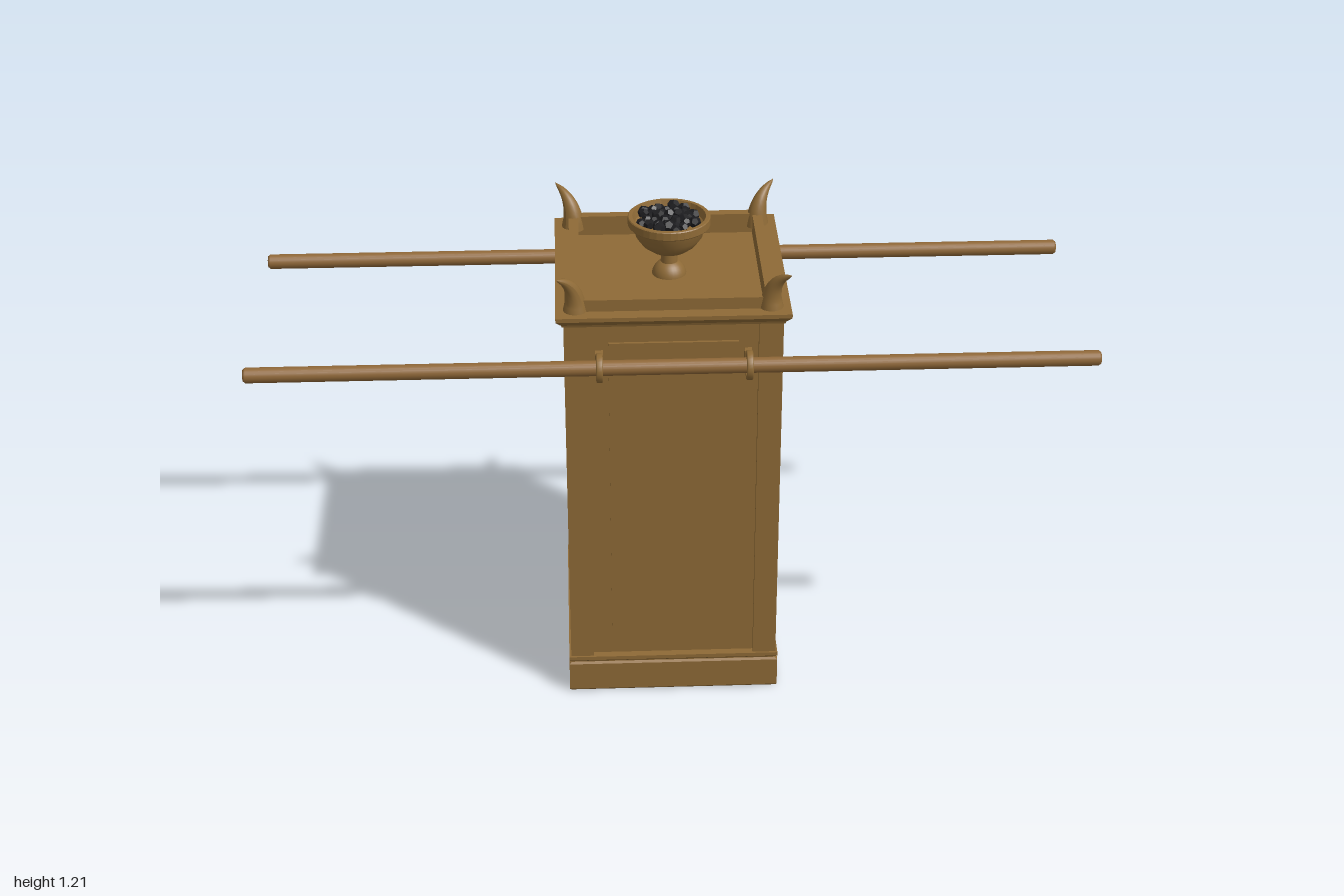
import * as THREE from 'three';

export function createModel() {
  const root = new THREE.Group();
  root.name = 'incenseAltar';
  const mat = (name, color) => {
    const m = new THREE.MeshStandardMaterial({ color });
    m.name = name;
    return m;
  };
  const gold = mat('dull gold', 0x8e6a36);
  const wood = mat('pole wood', 0x906838);
  const coal = mat('black coal', 0x1d1d20);

  const add = (name, geo, material, x = 0, y = 0, z = 0, parent = root) => {
    const m = new THREE.Mesh(geo, material);
    m.name = name;
    m.position.set(x, y, z);
    parent.add(m);
    return m;
  };
  const points = (list) => list.map(([a, b]) => new THREE.Vector2(a, b));

  // Square moulding: a four-sided lathe from [half width, height] pairs
  const squareLathe = (profile) => {
    const pts = points(profile.map(([h, y]) => [h * Math.SQRT2, y]));
    const geo = new THREE.LatheGeometry(pts, 4).rotateY(Math.PI / 4).toNonIndexed();
    geo.computeVertexNormals();
    return geo;
  };

  // Plinth with its moulding, the recessed body and the crown with its tray
  add('plinth', squareLathe([[0, 0], [0.258, 0], [0.262, 0.005], [0.262, 0.08], [0.256, 0.084],
    [0.256, 0.086], [0.262, 0.092], [0.262, 0.102], [0, 0.102]]), gold);
  add('body', new THREE.BoxGeometry(0.484, 0.95, 0.484), gold, 0, 0.57, 0);
  add('crown', squareLathe([[0, 1.036], [0.26, 1.036], [0.262, 1.042], [0.275, 1.056], [0.275, 1.066],
    [0.24, 1.066], [0.24, 1.095], [0.216, 1.095], [0.216, 1.04], [0, 1.04]]), gold);

  // Raised panel on each of the four sides
  for (let i = 0; i < 4; i++) {
    const side = new THREE.Group();
    side.name = 'sidePanel';
    side.rotation.y = i * Math.PI / 2;
    root.add(side);
    add('panel', new THREE.BoxGeometry(0.306, 0.83, 0.012), gold, 0, 0.57, 0.243, side);
  }

  // Curved horn: rings that shrink along an outward-bending curve
  const hornGeometry = () => {
    const curve = new THREE.CatmullRomCurve3([
      [0.229, 1.06], [0.229, 1.09], [0.236, 1.122], [0.25, 1.146], [0.271, 1.164],
    ].map(([d, y]) => new THREE.Vector3(d, y, d)));
    const rows = 12, sides = 16, pos = [], index = [];
    const across = new THREE.Vector3(1, 0, -1).normalize();
    for (let i = 0; i <= rows; i++) {
      const t = i / rows, c = curve.getPoint(t);
      const inward = curve.getTangent(t).cross(across).normalize();
      const r = 0.029 * Math.pow(1 - t, 0.75) + 0.0005;
      for (let j = 0; j <= sides; j++) {
        const a = j / sides * Math.PI * 2;
        const p = c.clone().addScaledVector(across, r * Math.cos(a)).addScaledVector(inward, r * Math.sin(a));
        pos.push(p.x, p.y, p.z);
        if (i < rows && j < sides) {
          const k = i * (sides + 1) + j, n = k + sides + 1;
          index.push(k, n, k + 1, k + 1, n, n + 1);
        }
      }
    }
    const geo = new THREE.BufferGeometry();
    geo.setAttribute('position', new THREE.Float32BufferAttribute(pos, 3));
    geo.setIndex(index);
    // Turn the faces outward if the rings run the other way
    const v = (k) => new THREE.Vector3().fromArray(pos, k * 3);
    const n = v(index[1]).sub(v(index[0])).cross(v(index[2]).sub(v(index[0])));
    if (n.dot(v(0).sub(curve.getPoint(0))) < 0) geo.setIndex(index.reverse());
    geo.computeVertexNormals();
    return geo;
  };
  const horn = hornGeometry();

  // Corner posts and horns
  for (let i = 0; i < 4; i++) {
    const corner = new THREE.Group();
    corner.name = 'corner';
    corner.rotation.y = i * Math.PI / 2;
    root.add(corner);
    add('cornerPost', new THREE.BoxGeometry(0.057, 0.94, 0.057), gold, 0.2285, 0.57, 0.2285, corner);
    add('horn', horn, gold, 0, 0, 0, corner);
  }

  // Carrying poles in their rings, front and back
  const poleProfile = points([[0, -1], [0.014, -1], [0.0185, -0.994], [0.0185, 0.994], [0.014, 1], [0, 1]]);
  const poleGeo = new THREE.LatheGeometry(poleProfile, 20).rotateZ(Math.PI / 2);
  const ringProfile = points([[0.025, -0.006], [0.027, -0.008], [0.033, -0.008], [0.035, -0.005],
    [0.035, 0.005], [0.033, 0.008], [0.027, 0.008], [0.025, 0.006], [0.025, -0.006]]);
  ringProfile.reverse();
  const ringGeo = new THREE.LatheGeometry(ringProfile.reverse(), 28).rotateZ(Math.PI / 2);
  for (const s of [1, -1]) {
    add('carryingPole', poleGeo, wood, 0, 0.948, s * 0.298);
    for (const x of [-0.175, 0.175]) {
      add('poleRing', ringGeo, gold, x, 0.948, s * 0.298);
      add('ringMount', new THREE.BoxGeometry(0.018, 0.034, 0.03), gold, x, 0.948, s * 0.252);
    }
  }

  // Incense bowl: domed foot, stem, round cup and straight rim
  const bowl = new THREE.Group();
  bowl.name = 'incenseBowl';
  root.add(bowl);
  add('bowlFoot', new THREE.SphereGeometry(0.042, 28, 10, 0, Math.PI * 2, 0, Math.PI / 2), gold, 0, 1.04, 0, bowl);
  add('bowlStem', new THREE.CylinderGeometry(0.019, 0.021, 0.045, 24), gold, 0, 1.085, 0, bowl);
  add('bowlCup', new THREE.LatheGeometry(points([[0, 1.1], [0.02, 1.101], [0.045, 1.11], [0.065, 1.125],
    [0.08, 1.146], [0.088, 1.175]]), 36), gold, 0, 0, 0, bowl);
  const rim = new THREE.LatheGeometry(points([[0.085, 1.173], [0.096, 1.173], [0.099, 1.176], [0.099, 1.194],
    [0.097, 1.196], [0.088, 1.196], [0.083, 1.175], [0.06, 1.155], [0, 1.15]]), 36).toNonIndexed();
  rim.computeVertexNormals();
  add('bowlRim', rim, gold, 0, 0, 0, bowl);

  // Heap of coals in sunflower order, with small seeded variations
  let seed = 7;
  const rand = () => (seed = (seed * 16807) % 2147483647) / 2147483647;
  const lump = new THREE.DodecahedronGeometry(0.016);
  for (let i = 0; i < 34; i++) {
    const a = i * 2.39996, r = 0.074 * Math.sqrt((i + 0.3) / 34);
    const m = add('coal', lump, coal, r * Math.cos(a), 1.181 + rand() * 0.013, r * Math.sin(a), bowl);
    m.rotation.set(rand() * 3, rand() * 3, rand() * 3);
    m.scale.setScalar(0.75 + rand() * 0.3);
  }
  return root;
}
